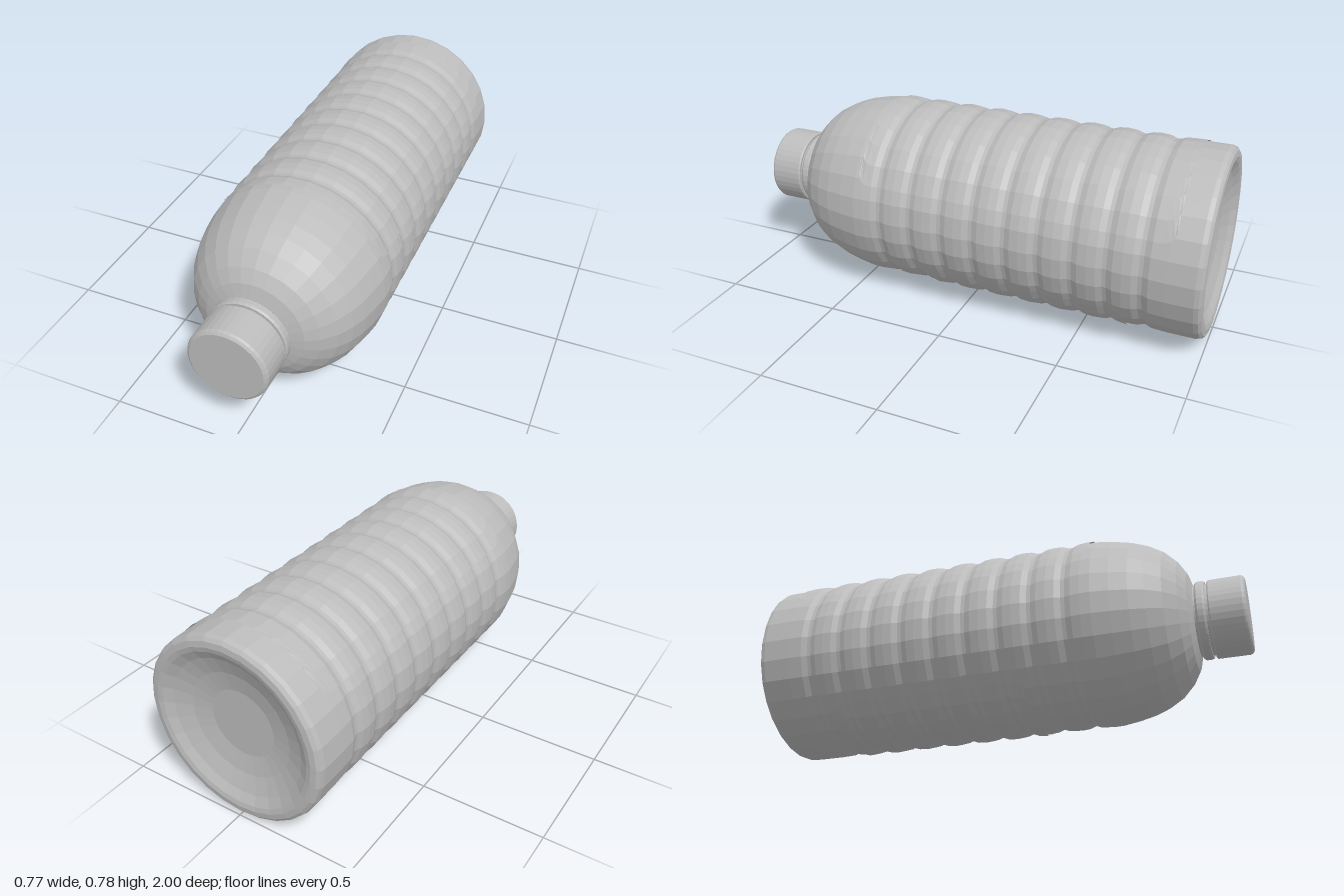
import * as THREE from 'three';

const CENTRE_Y = 0.39;
const RADIUS = 0.386;

// Straight wall with nine shallow grooves: [radius, z] from back to front
function ribbedWall() {
  const points = [];
  for (let i = 8; i >= 0; i--) {
    const z = 0.33 - 0.137 * i;
    points.push([RADIUS - 0.003, z - 0.032], [RADIUS - 0.012, z - 0.008],
      [RADIUS - 0.012, z + 0.008], [RADIUS - 0.003, z + 0.032], [RADIUS, z + 0.0685]);
  }
  return points;
}

const wall = [[RADIUS, -0.97], [RADIUS, -0.86], ...ribbedWall(), [RADIUS - 0.001, 0.44]];

function radiusAt(z) {
  for (let i = 1; i < wall.length; i++) {
    const [r0, z0] = wall[i - 1], [r1, z1] = wall[i];
    if (z <= z1) return r0 + (r1 - r0) * (z - z0) / (z1 - z0);
  }
  return RADIUS;
}

// Lathe turned so that its axis runs along z
function turned(name, profile, sides, material) {
  const geometry = new THREE.LatheGeometry(profile.map(([r, z]) => new THREE.Vector2(r, z)), sides);
  geometry.rotateX(Math.PI / 2);
  const mesh = new THREE.Mesh(geometry, material);
  mesh.name = name;
  return mesh;
}

// Thin wrap following the grooves, with rounded corners; angles in degrees
function label(name, fromDeg, toDeg, zBack, zFront, material) {
  const corner = 0.045, steps = 10;
  const rows = [0, 0.006, 0.02, corner].flatMap(d => [zBack + d, zFront - d])
    .concat(wall.map(p => p[1]).filter(z => z > zBack + corner && z < zFront - corner))
    .sort((a, b) => a - b);
  const positions = [], indices = [];
  rows.forEach((z, row) => {
    const d = Math.min(z - zBack, zFront - z, corner);
    const inset = (corner - Math.sqrt(Math.max(0, corner ** 2 - (corner - d) ** 2))) / RADIUS;
    const a0 = THREE.MathUtils.degToRad(fromDeg) + inset;
    const a1 = THREE.MathUtils.degToRad(toDeg) - inset;
    const r = radiusAt(z) + 0.004;
    for (let i = 0; i <= steps; i++) {
      const a = a0 + (a1 - a0) * i / steps;
      positions.push(r * Math.cos(a), r * Math.sin(a), z);
      if (row > 0 && i > 0) {
        const q = row * (steps + 1) + i, p = q - steps - 1;
        indices.push(p - 1, p, q, p - 1, q, q - 1);
      }
    }
  });
  const geometry = new THREE.BufferGeometry();
  geometry.setAttribute('position', new THREE.Float32BufferAttribute(positions, 3));
  geometry.setIndex(indices);
  geometry.computeVertexNormals();
  const mesh = new THREE.Mesh(geometry, material);
  mesh.name = name;
  return mesh;
}

export function createModel() {
  const grey = new THREE.MeshStandardMaterial({
    color: 0xbcbcbc, flatShading: true, side: THREE.DoubleSide,
  });
  grey.name = 'grey plastic';

  const bottle = new THREE.Group();
  bottle.name = 'bottle';
  bottle.position.y = CENTRE_Y;

  // Body: dished base, rounded rim, ribbed wall, domed shoulder
  bottle.add(turned('body', [
    [0, -0.935], [0.14, -0.935], [0.22, -0.95], [0.29, -0.975], [0.325, -0.995],
    [0.345, -1], [0.368, -0.997], [0.381, -0.987],
    ...wall,
    [0.374, 0.51], [0.358, 0.58], [0.335, 0.64], [0.3, 0.7],
    [0.25, 0.75], [0.2, 0.78], [0.14, 0.797],
  ], 28, grey));

  // Neck with its collar ring
  bottle.add(turned('neck', [[0.145, 0.79], [0.145, 0.87]], 40, grey));
  bottle.add(turned('collar', [
    [0.14, 0.803], [0.153, 0.803], [0.16, 0.811], [0.16, 0.834], [0.155, 0.842], [0.14, 0.842],
  ], 40, grey));

  // Screw cap with a bevelled front edge
  bottle.add(turned('cap', [
    [0.14, 0.853], [0.156, 0.853], [0.16, 0.858], [0.16, 0.985], [0.156, 0.993], [0.146, 1], [0, 1],
  ], 40, grey));

  // Wraps above and below
  bottle.add(label('upperLabel', 22, 147, -0.88, 0.42, grey));
  bottle.add(label('lowerLabel', -134, -31, -0.7, 0.13, grey));

  const model = new THREE.Group();
  model.add(bottle);
  return model;
}
